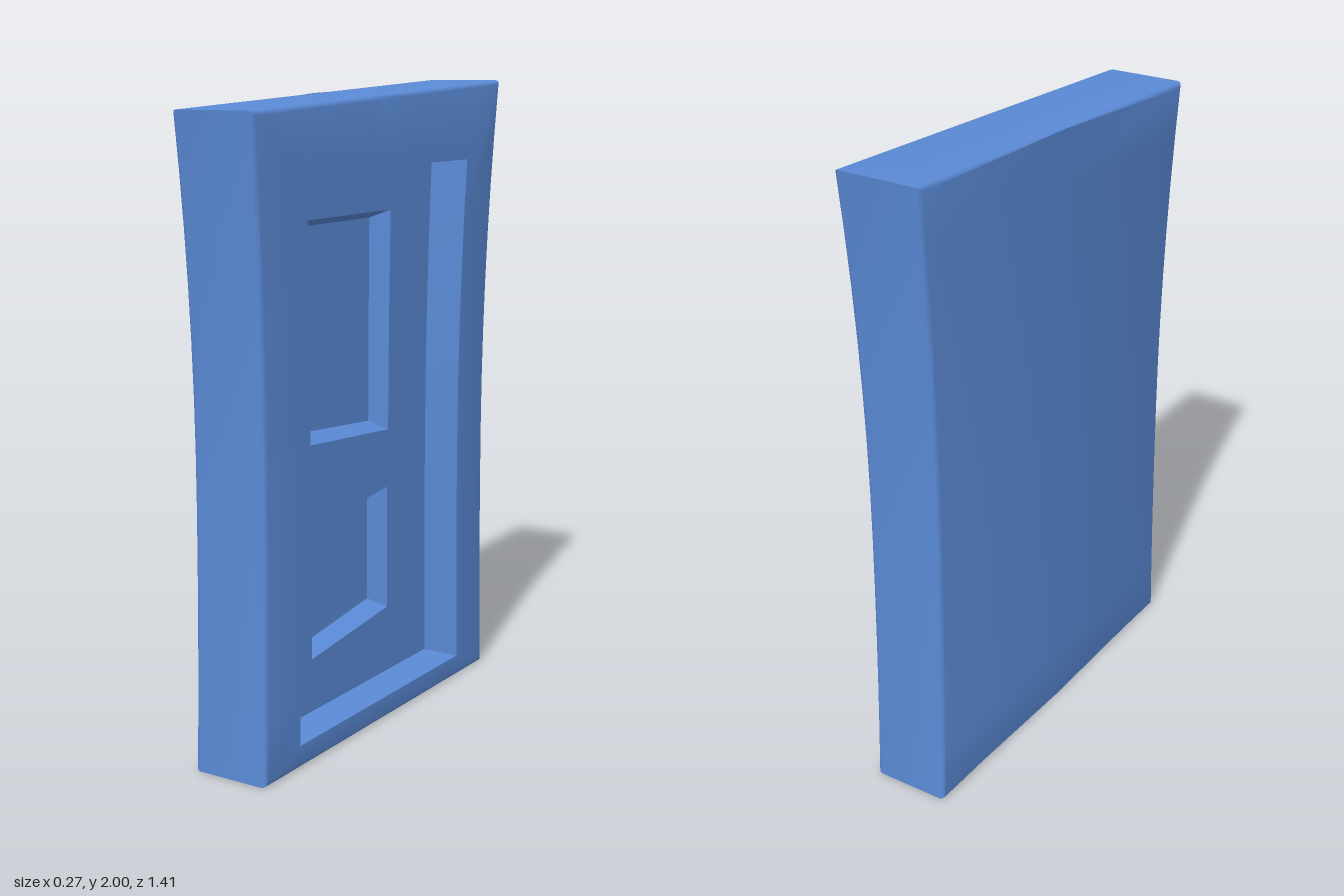
import * as THREE from 'three';
import { toCreasedNormals } from 'three/addons/utils/BufferGeometryUtils.js';

const STEPS = 12; // subdivisions per edge, so the sides can curve

// Gentle flare towards the top and foot, narrowest a little below the middle
const flare = (y) => 1 + (y > 0.85 ? 0.08 : 0.03) * (y - 0.85) ** 2;

// Quad in the z-y plane: half width, bottom and top heights at the front (+z) and back (-z)
const quad = (w, bottomFront, bottomBack, topBack, topFront) =>
  [[w, bottomFront], [-w, bottomBack], [-w, topBack], [w, topFront]];

// Shrink a quad evenly on all sides
const inset = (q, d) => q.map(([z, y], i) => [z - Math.sign(z) * d, y + (i < 2 ? d : -d)]);

// Collapse a quad to its upright centre line, to close a face
const spine = (q) => {
  const low = (q[0][1] + q[1][1]) / 2, high = (q[2][1] + q[3][1]) / 2;
  return [[0, low], [0, low], [0, high], [0, high]];
};

// Subdivided, flared outline of a quad at depth x
function ring(q, x) {
  const points = [];
  q.forEach(([z0, y0], i) => {
    const [z1, y1] = q[(i + 1) % 4];
    for (let k = 0; k < STEPS; k++) {
      const t = k / STEPS, y = y0 + (y1 - y0) * t, s = flare(y);
      points.push([x * s, y, (z0 + (z1 - z0) * t) * s]);
    }
  });
  return points;
}

// Surface joining a series of rings
function loft(rings) {
  const pos = [];
  for (let r = 0; r + 1 < rings.length; r++) {
    const a = rings[r], b = rings[r + 1], n = a.length;
    for (let i = 0; i < n; i++) {
      const j = (i + 1) % n;
      pos.push(...a[i], ...a[j], ...b[i], ...a[j], ...b[j], ...b[i]);
    }
  }
  const geo = new THREE.BufferGeometry();
  geo.setAttribute('position', new THREE.Float32BufferAttribute(pos, 3));
  return toCreasedNormals(geo, 0.6);
}

export function createModel() {
  const model = new THREE.Group();
  model.name = 'door';
  const blue = new THREE.MeshStandardMaterial({ color: 0x5a8ad6 });
  blue.name = 'blue';
  const add = (name, geo) => {
    const mesh = new THREE.Mesh(geo, blue);
    mesh.name = name;
    model.add(mesh);
  };

  const outer = quad(0.64, 0, 0, 2, 1.93);
  const opening = quad(0.465, 0.07, 0.07, 1.75, 1.75);
  const panels = {
    upperPanel: quad(0.226, 0.92, 0.89, 1.6, 1.6),
    lowerPanel: quad(0.22, 0.24, 0.29, 0.7, 0.655),
  };

  // Slab with softly rounded rims, plain back and a deep opening in the +x face
  const half = 0.124, radius = 0.015;
  const rings = [ring(spine(outer), -half)];
  for (const side of [-1, 1]) {
    for (let k = 0; k <= 3; k++) {
      const a = (side < 0 ? 3 - k : k) * Math.PI / 6;
      rings.push(ring(inset(outer, radius * (1 - Math.cos(a))),
        side * (half - radius + radius * Math.sin(a))));
    }
  }
  rings.push(ring(opening, half));
  add('frame', loft(rings));
  add('openingWalls', loft([ring(opening, half), ring(opening, 0)]));

  // Door leaf at the bottom of the opening, cut out for the panels
  const outline = (q) => ring(q, 0).map(([, y, z]) => new THREE.Vector2(-z, y));
  const leaf = new THREE.Shape(outline(opening));
  for (const q of Object.values(panels)) leaf.holes.push(new THREE.Path(outline(q)));
  add('doorLeaf', new THREE.ShapeGeometry(leaf).rotateY(Math.PI / 2));

  // Sunken panels with sloping edges
  for (const [name, q] of Object.entries(panels)) {
    const floor = inset(q, 0.026), depth = -0.06;
    add(name, loft([ring(q, 0), ring(floor, depth)]));
    add(name + 'Floor', loft([ring(floor, depth), ring(spine(floor), depth)]));
  }
  return model;
}
